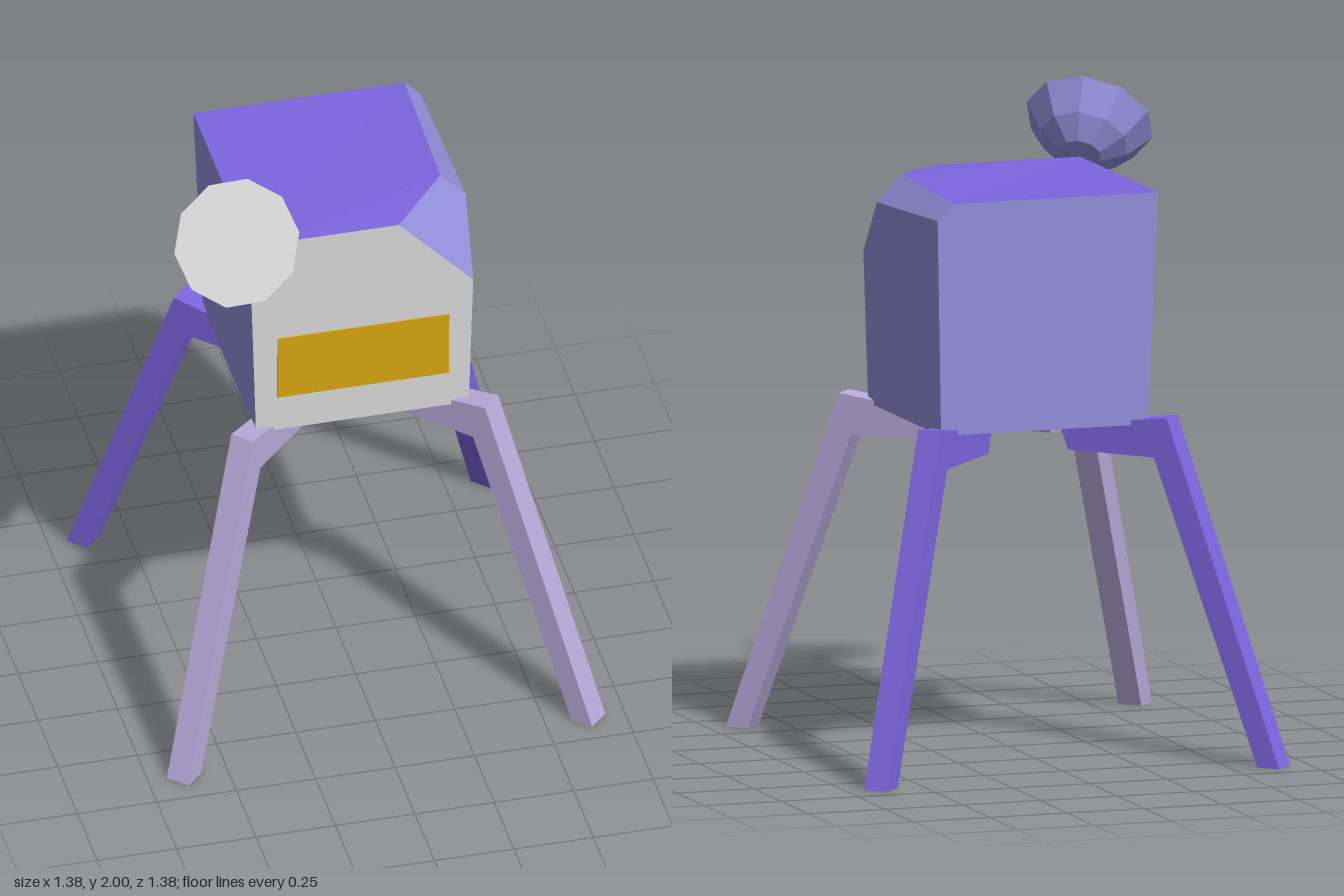
import * as THREE from 'three';

const paint = (name, color) => {
  const m = new THREE.MeshStandardMaterial({ color });
  m.name = name;
  m.flatShading = true;
  return m;
};

function add(parent, name, geometry, material) {
  const mesh = new THREE.Mesh(geometry, material);
  mesh.name = name;
  parent.add(mesh);
  return mesh;
}

// Flat convex panels, each a counter-clockwise loop of corners
function panels(loops) {
  const pos = [];
  for (const loop of loops)
    for (let i = 1; i < loop.length - 1; i++) pos.push(...loop[0], ...loop[i], ...loop[i + 1]);
  const g = new THREE.BufferGeometry();
  g.setAttribute('position', new THREE.Float32BufferAttribute(pos, 3));
  g.computeVertexNormals();
  return g;
}

export function createModel() {
  const model = new THREE.Group();
  model.name = 'dishWalker';
  const grey = paint('light grey', 0xd9d9d9);
  const purple = paint('purple', 0x7c66e0);
  const lavender = paint('lavender', 0x9490dc);
  const lilac = paint('lilac', 0xb9abdc);
  const gold = paint('gold', 0xd6a610);

  // Body: tapered box with a chamfered edge and a cut front corner
  const body = new THREE.Group();
  body.name = 'body';
  model.add(body);
  const a = [-0.36, 1.75, 0.355], b = [0.11, 1.75, 0.355], c = [0.29, 1.765, 0.155];
  const d = [0.305, 1.75, -0.36], e = [-0.36, 1.75, -0.36];
  const f = [0.345, 1.5, 0.35], g = [0.37, 1.68, 0.155], h = [0.355, 1.7, -0.36];
  const p = [-0.335, 1.03, 0.335], q = [0.335, 1.03, 0.335];
  const r = [0.335, 1.03, -0.335], s = [-0.335, 1.03, -0.335];
  add(body, 'frontPanel', panels([[p, q, f, b, a]]), grey);
  add(body, 'topPanel', panels([[a, b, c, d, e]]), purple);
  add(body, 'bodyShell', panels([
    [b, f, g, c], [c, g, h, d],
    [q, r, h, g, f], [r, s, e, d, h], [s, p, a, e], [s, r, q, p],
  ]), lavender);

  // Gold plate lying on the leaning front panel
  const plate = add(body, 'frontPlate', new THREE.BoxGeometry(0.54, 0.225, 0.008), gold);
  plate.position.set(0, 1.268, 0.342);
  plate.rotation.x = 0.028;

  // Dish: faceted bowl closed by a flat face, aimed up, forward and sideways
  const dish = new THREE.Group();
  dish.name = 'dish';
  const lathe = (pts) => new THREE.LatheGeometry(pts.map(([x, y]) => new THREE.Vector2(x, y)), 10);
  add(dish, 'dishBowl', lathe([[0, -0.155], [0.065, -0.145], [0.138, -0.092], [0.2, 0]]), lavender);
  add(dish, 'dishFace', lathe([[0.2, 0], [0, 0]]), grey);
  const axis = new THREE.Vector3(-0.43, 0.63, 0.65).normalize();
  const side = new THREE.Vector3(-0.18, -0.045, -0.055).projectOnPlane(axis).normalize();
  const across = new THREE.Vector3().crossVectors(axis, side);
  dish.quaternion.setFromRotationMatrix(new THREE.Matrix4().makeBasis(across, axis, side));
  dish.position.set(-0.425, 1.845, 0.455);
  model.add(dish);

  // Legs: one bent profile turned to each corner
  const profile = [[0.863, 0], [0.937, 0], [0.555, 1.06], [0.194, 1.015], [0.222, 0.94], [0.512, 0.935]];
  const legGeometry = new THREE.ExtrudeGeometry(
    new THREE.Shape(profile.map(([x, y]) => new THREE.Vector2(x, y))),
    { depth: 0.078, bevelEnabled: false },
  ).translate(0, 0, -0.039);
  const legs = [['frontLeftLeg', -1, lilac], ['frontRightLeg', -3, lilac],
    ['backLeftLeg', 1, purple], ['backRightLeg', 3, purple]];
  for (const [name, turn, material] of legs)
    add(model, name, legGeometry, material).rotation.y = turn * Math.PI / 4;

  return model;
}
